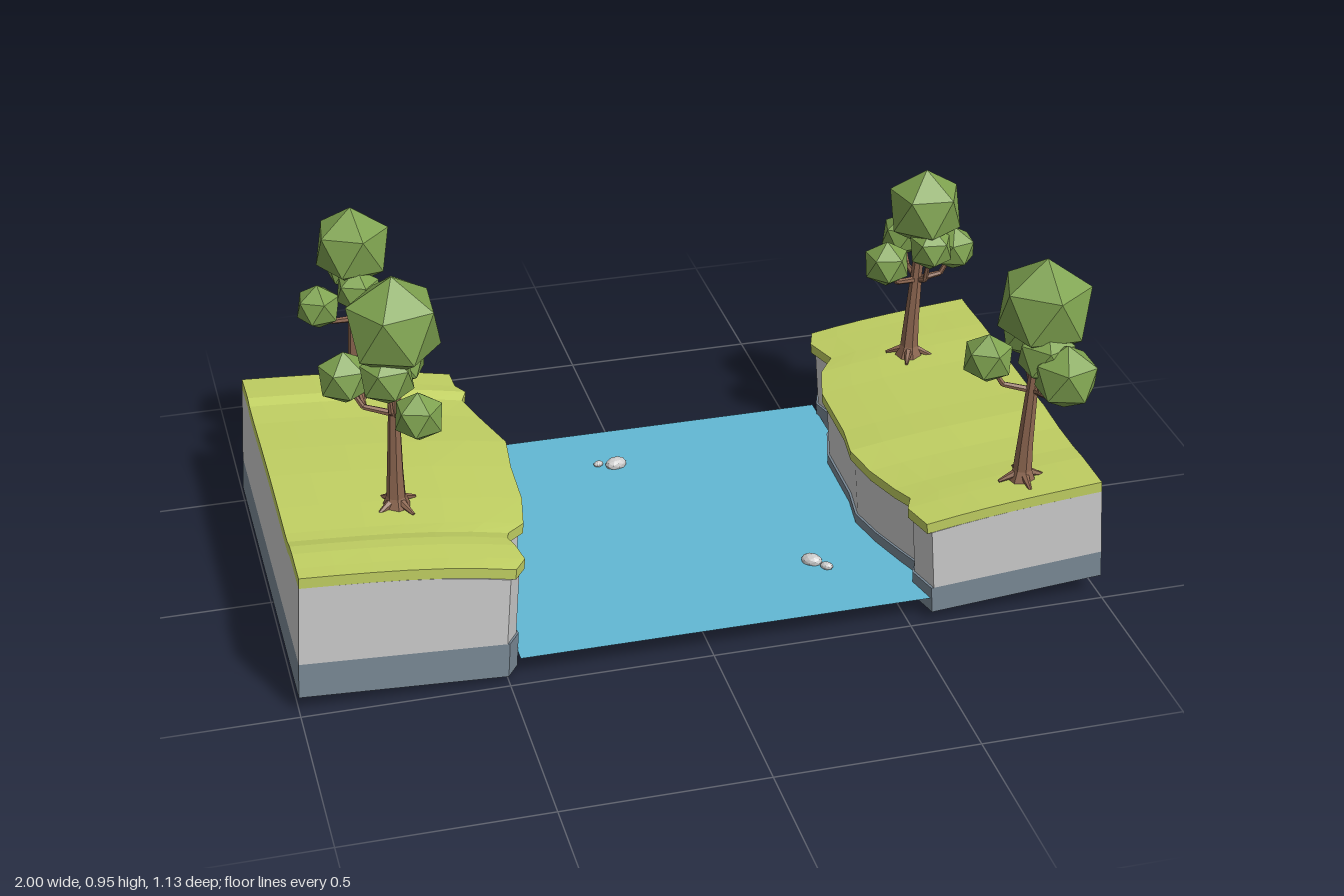
import * as THREE from 'three';

const mat = (color, extra = {}) => new THREE.MeshStandardMaterial({ color, flatShading: true, ...extra });
const GREY = mat(0xcccccc);
const SLATE = mat(0x7a8996);
const GRASS = mat(0xc0cf62);
const WATER = mat(0x62b8d4, { side: THREE.DoubleSide });
const LEAF = mat(0x7fa350);
const BARK = mat(0x8c6650);

function add(parent, name, geometry, material) {
  const mesh = new THREE.Mesh(geometry, material);
  mesh.name = name;
  parent.add(mesh);
  return mesh;
}

// Shorelines and ground undulation, listed as [z, x of shore, ground offset]
const leftBank = {
  name: 'leftShore', side: 1, lean: -0.07, slate: 0.07, rock: 0.245, droop: 0.015,
  bottom: (x) => 0.057 - 0.08 * (1 - x),
  rows: [[-0.515, 0.55, 0], [-0.46, 0.53, 0], [-0.36, 0.555, 0.004], [-0.3, 0.51, 0.004], [-0.2, 0.48, 0],
    [0, 0.475, 0], [0.1, 0.46, 0.003], [0.2, 0.48, -0.004], [0.3, 0.51, -0.004], [0.36, 0.53, 0], [0.4, 0.51, 0], [0.485, 0.53, 0]],
};
const rightBank = {
  name: 'rightShore', side: -1, lean: 0.06, slate: 0.092, rock: 0.3, droop: 0.03,
  bottom: (x, z) => 0.0375 + 0.015 * z - 0.055 * (x + 1),
  rows: [[-0.515, -0.44, -0.004], [-0.44, -0.44, 0], [-0.4, -0.42, 0.002], [-0.37, -0.435, -0.007], [-0.28, -0.41, -0.009],
    [-0.13, -0.37, -0.004], [0, -0.385, -0.003], [0.15, -0.39, -0.007], [0.26, -0.41, -0.012], [0.3, -0.455, -0.011],
    [0.34, -0.465, 0], [0.38, -0.455, 0.003], [0.44, -0.445, 0], [0.485, -0.475, 0]],
};

// One layer of a bank: a box whose shore side follows the rows
function layer(bank, low, high, overhang, isTop) {
  const n = bank.rows.length - 1;
  const geo = new THREE.BoxGeometry(1, 1, 1, 6, 1, n);
  const p = geo.attributes.position;
  for (let i = 0; i < p.count; i++) {
    const [z, shore, wave] = bank.rows[Math.round((p.getZ(i) + 0.5) * n)];
    const upper = p.getY(i) > 0;
    const t = 0.5 - bank.side * p.getX(i);
    const edge = shore - bank.lean * 0.33 + bank.side * (0.012 - overhang);
    const x = THREE.MathUtils.lerp(bank.side, edge, t);
    const h = upper ? high : low;
    const sag = h > 0.2 ? bank.droop * t ** 3 : 0;
    const y = bank.bottom(x, z) + h - sag + (h > 0.2 ? wave : 0);
    p.setXYZ(i, x + bank.lean * h, y, z);
  }
  geo.computeVertexNormals();
  return geo;
}

function makeBank(bank) {
  const group = new THREE.Group();
  group.name = bank.name;
  // The underside of the slate is plain grey
  add(group, 'slateBase', layer(bank, 0, bank.slate, 0.006), [SLATE, SLATE, SLATE, GREY, SLATE, SLATE]);
  add(group, 'rockCliff', layer(bank, bank.slate, bank.rock, 0), GREY);
  add(group, 'grassCap', layer(bank, bank.rock, bank.rock + 0.027, 0.012), GRASS);
  return group;
}

// Tapered limb between two points
function limb(parent, name, a, b, r0, r1) {
  const dir = b.clone().sub(a);
  const mesh = add(parent, name, new THREE.CylinderGeometry(r1, r0, dir.length(), 6), BARK);
  mesh.position.copy(a).addScaledVector(dir, 0.5);
  mesh.quaternion.setFromUnitVectors(new THREE.Vector3(0, 1, 0), dir.normalize());
}

// Faceted leaf clump with a vertex pointing up
function clump(parent, name, [x, y, z, r], turn) {
  const geo = new THREE.IcosahedronGeometry(r, 0);
  geo.rotateZ(Math.atan(2 / (1 + Math.sqrt(5))));
  geo.rotateY(turn);
  const mesh = add(parent, name, geo, LEAF);
  mesh.position.set(x, y, z);
  return mesh;
}

function makeTree({ base, crown, clumps }, index) {
  const tree = new THREE.Group();
  tree.name = 'tree' + (index + 1);
  const foot = new THREE.Vector3(...base);
  const top = new THREE.Vector3(crown[0], crown[1], crown[2]);
  const height = top.y - foot.y;
  // Flared trunk, bending slightly towards the crown
  const profile = [[0.036, 0], [0.024, 0.03], [0.02, 0.1], [0.015, 0.24], [0.012, height]];
  const trunkGeo = new THREE.LatheGeometry(profile.map(([r, y]) => new THREE.Vector2(r, y)), 7);
  const p = trunkGeo.attributes.position;
  for (let i = 0; i < p.count; i++) {
    const k = (p.getY(i) / height) ** 1.5;
    p.setX(i, p.getX(i) + (top.x - foot.x) * k);
    p.setZ(i, p.getZ(i) + (top.z - foot.z) * k);
  }
  add(tree, 'trunk', trunkGeo, BARK).position.copy(foot);
  // Roots
  for (let i = 0; i < 4; i++) {
    const a = i * Math.PI / 2 + index;
    const tip = foot.clone().add(new THREE.Vector3(Math.cos(a) * 0.06, 0.002, Math.sin(a) * 0.06));
    limb(tree, 'root', foot.clone().add(new THREE.Vector3(0, 0.025, 0)), tip, 0.014, 0.004);
  }
  // Crown, side clumps and the branches that carry them
  clump(tree, 'crown', crown, index * 0.9 + 0.3).scale.y = 1.04;
  clumps.forEach((c, i) => {
    clump(tree, 'leafClump', c, index + i * 1.7);
    const end = new THREE.Vector3(c[0], c[1] - 0.01, c[2]);
    const fork = foot.clone().lerp(top, 0.52);
    const elbow = fork.clone().lerp(end, 0.65).setY(fork.y + 0.012);
    limb(tree, 'branch', fork, elbow, 0.009, 0.007);
    limb(tree, 'branchTip', elbow, end, 0.007, 0.005);
  });
  return tree;
}

const TREES = [
  { base: [0.81, 0.31, 0.39], crown: [0.84, 0.78, 0.385, 0.122],
    clumps: [[0.86, 0.645, 0.495, 0.083], [0.72, 0.635, 0.345, 0.065], [0.86, 0.63, 0.235, 0.065], [0.83, 0.68, 0.44, 0.075]] },
  { base: [-0.7, 0.335, 0.17], crown: [-0.685, 0.82, 0.165, 0.122],
    clumps: [[-0.8, 0.675, 0.12, 0.068], [-0.655, 0.67, 0.055, 0.065], [-0.655, 0.64, 0.285, 0.063], [-0.71, 0.7, 0.19, 0.07]] },
  { base: [0.75, 0.31, -0.285], crown: [0.78, 0.73, -0.295, 0.103],
    clumps: [[0.665, 0.605, -0.25, 0.063], [0.86, 0.61, -0.285, 0.06], [0.755, 0.615, -0.385, 0.06], [0.78, 0.64, -0.24, 0.06]] },
  { base: [-0.7, 0.33, -0.4], crown: [-0.69, 0.745, -0.42, 0.103],
    clumps: [[-0.79, 0.61, -0.375, 0.06], [-0.6, 0.6, -0.395, 0.062], [-0.69, 0.645, -0.51, 0.062], [-0.69, 0.65, -0.36, 0.06]] },
];

// Stones: x, z, radius
const STONES = [[-0.038, -0.33, 0.028], [-0.083, -0.34, 0.013], [0.322, 0.25, 0.026], [0.35, 0.285, 0.016]];

export function createModel() {
  const model = new THREE.Group();
  model.name = 'riverScene';
  model.add(makeBank(leftBank), makeBank(rightBank));

  // River surface, tucked into both banks
  const water = new THREE.PlaneGeometry(1.03, 0.99).rotateX(-Math.PI / 2);
  add(model, 'riverWater', water, WATER).position.set(0.045, 0.06, -0.015);

  TREES.forEach((t, i) => model.add(makeTree(t, i)));

  STONES.forEach(([x, z, r], i) => {
    const stone = add(model, 'riverStone', new THREE.IcosahedronGeometry(r, 1), GREY);
    stone.position.set(x, 0.066, z);
    stone.scale.set(1.05, 0.65, 0.75);
    stone.rotation.y = i < 2 ? 0.2 : -0.6;
  });
  return model;
}
